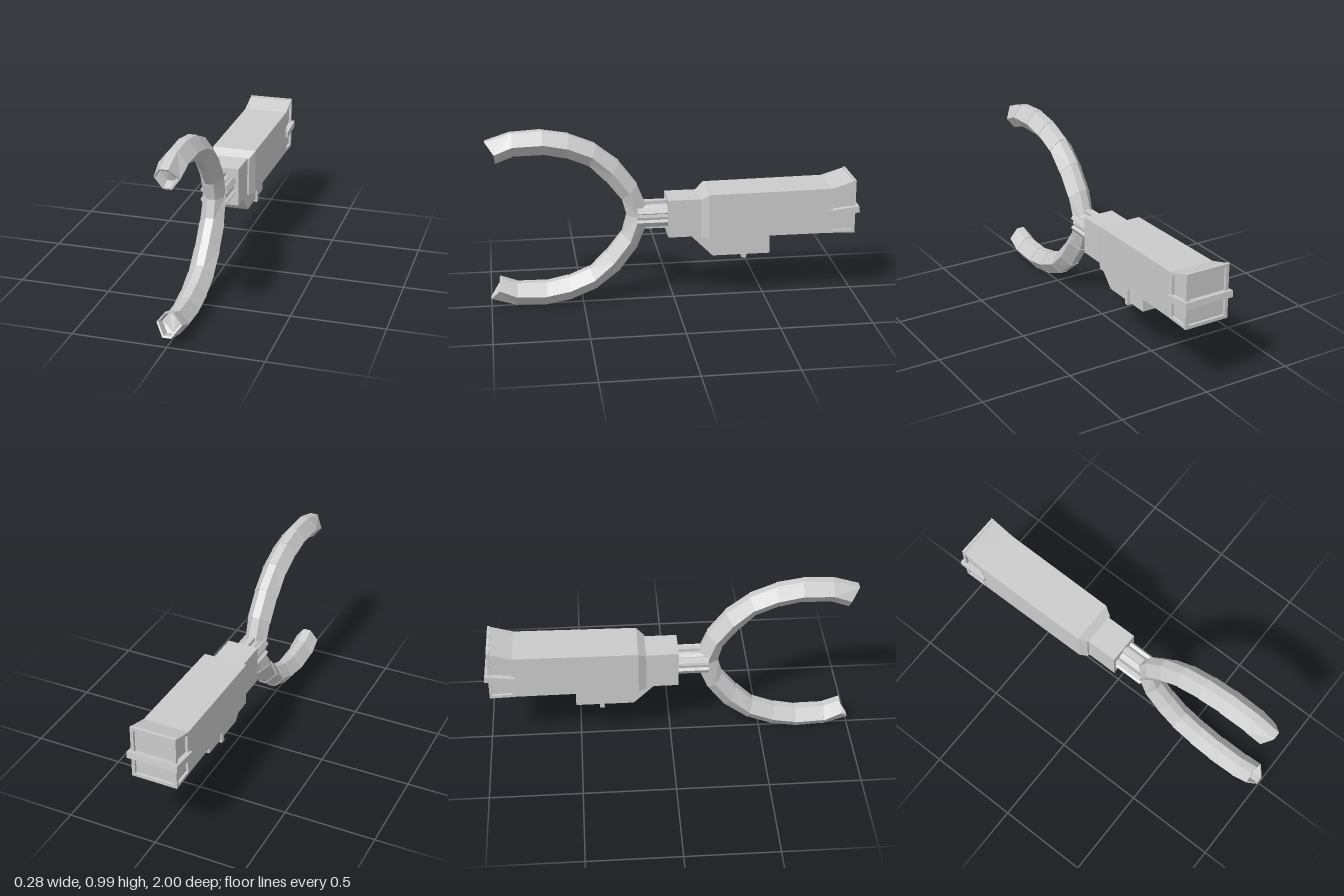
import * as THREE from 'three';

const material = new THREE.MeshStandardMaterial({ color: 0xcccccc, flatShading: true });
const MID = 0.493; // height of the mirror plane between the two claws

function mesh(name, geometry, parent) {
  const m = new THREE.Mesh(geometry, material);
  m.name = name;
  parent.add(m);
  return m;
}

function box(name, parent, x0, x1, y0, y1, z0, z1) {
  const m = mesh(name, new THREE.BoxGeometry(x1 - x0, y1 - y0, z1 - z0), parent);
  m.position.set((x0 + x1) / 2, (y0 + y1) / 2, (z0 + z1) / 2);
  return m;
}

// Skin a list of equal-sized convex rings, capped at both ends and facing outward
function loft(rings) {
  const tris = [];
  const n = rings[0].length;
  for (let r = 0; r + 1 < rings.length; r++) {
    for (let i = 0; i < n; i++) {
      const j = (i + 1) % n, a = rings[r], b = rings[r + 1];
      tris.push([a[i], a[j], b[j]], [a[i], b[j], b[i]]);
    }
  }
  const first = rings[0], last = rings[rings.length - 1];
  for (let i = 1; i + 1 < n; i++) {
    tris.push([first[0], first[i + 1], first[i]], [last[0], last[i], last[i + 1]]);
  }
  const cross = new THREE.Vector3();
  const volume = tris.reduce((v, [a, b, c]) => v + a.dot(cross.crossVectors(b, c)), 0);
  if (volume < 0) tris.forEach((t) => t.reverse());
  const g = new THREE.BufferGeometry().setFromPoints(tris.flat());
  g.computeVertexNormals();
  return g;
}

const rectRing = (x, y0, y1, z) =>
  [[-x, y0], [x, y0], [x, y1], [-x, y1]].map(([a, b]) => new THREE.Vector3(a, b, z));

// Side profile of [z, y] points stretched across the width
const prism = (profile, halfWidth) =>
  loft([-halfWidth, halfWidth].map((x) => profile.map(([z, y]) => new THREE.Vector3(x, y, z))));

function frame(outer, holes, depth) {
  const toPoints = (pts) => pts.map(([a, b]) => new THREE.Vector2(a, b));
  const shape = new THREE.Shape(toPoints(outer));
  holes.forEach((h) => shape.holes.push(new THREE.Path(toPoints(h))));
  return new THREE.ExtrudeGeometry(shape, { depth, bevelEnabled: false });
}

// Hexagonal ring between an outer and an inner [z, y] point
function hexRing([oz, oy, iz, iy, w], sign, scale = 1) {
  const mz = (oz + iz) / 2 - (oz > 0.99 ? 0.02 : 0), my = (oy + iy) / 2;
  const f = 0.022;
  return [[f, oz, oy], [w, mz, my], [f, iz, iy], [-f, iz, iy], [-w, mz, my], [-f, oz, oy]]
    .map(([x, z, y]) => new THREE.Vector3(
      x * scale,
      MID + sign * (my + (y - my) * scale - MID),
      mz + (z - mz) * scale));
}

// Curved claw of overlapping hexagonal segments with a hollow tip
function claw(name, sign, parent) {
  const group = new THREE.Group();
  group.name = name;
  parent.add(group);
  const stations = [
    [0.13, MID, 0.257, MID, 0.062],
    [0.2, 0.67, 0.285, 0.59, 0.069],
    [0.295, 0.8, 0.37, 0.695, 0.071],
    [0.42, 0.9, 0.46, 0.785, 0.072],
    [0.56, 0.96, 0.58, 0.832, 0.073],
    [0.7, 0.986, 0.7, 0.855, 0.074],
    [0.86, 0.98, 0.86, 0.85, 0.074],
    [1.0, 0.935, 0.95, 0.817, 0.067],
  ];
  for (let i = 0; i + 1 < stations.length; i++) {
    const tip = i === stations.length - 2;
    const rings = [hexRing(stations[i], sign), hexRing(stations[i + 1], sign, tip ? 1 : 0.96)];
    if (tip) {
      const lip = hexRing(stations[i + 1], sign, 0.86);
      const floor = hexRing(stations[i + 1], sign, 0.78);
      floor.forEach((p) => { p.z -= 0.05; p.y += sign * 0.015; });
      rings.push(lip, floor);
    }
    mesh('clawSegment', loft(rings), group);
  }
}

export function createModel() {
  const root = new THREE.Group();
  root.name = 'clawTool';

  claw('upperClaw', 1, root);
  claw('lowerClaw', -1, root);

  // Ribbed neck joining the claws to the body
  const neck = new THREE.Group();
  neck.name = 'neck';
  neck.position.set(0, MID, 0.12);
  root.add(neck);
  mesh('neckCore', new THREE.CylinderGeometry(0.064, 0.064, 0.17, 12), neck).rotation.x = Math.PI / 2;
  for (let i = 0; i < 6; i++) {
    const a = Math.PI / 2 + i * Math.PI / 3;
    const rib = mesh('neckRib', new THREE.BoxGeometry(0.026, 0.032, 0.17), neck);
    rib.position.set(Math.cos(a) * 0.066, Math.sin(a) * 0.066, 0);
    rib.rotation.z = a;
  }

  // Body: front block, then a chamfered step up to the long housing
  box('frontBlock', root, -0.087, 0.087, 0.382, 0.592, -0.2, 0.04);
  mesh('housing', loft([
    rectRing(0.098, 0.38, 0.592, -0.135),
    rectRing(0.122, 0.38, 0.625, -0.178),
    rectRing(0.125, 0.38, 0.632, -0.845),
  ]), root);

  // Flared rear end with recessed panels behind frames
  mesh('rearCore', prism([[-0.84, 0.38], [-0.965, 0.378], [-0.965, 0.669], [-0.84, 0.63]], 0.112), root);
  const sideOutline = [[0.84, 0.38], [0.98, 0.376], [0.98, 0.674], [0.84, 0.631]];
  const sideHole = [[0.858, 0.396], [0.964, 0.394], [0.964, 0.652], [0.858, 0.62]];
  for (const x of [-0.126, 0.111]) {
    const side = frame(sideOutline, [sideHole], 0.015);
    side.rotateY(Math.PI / 2);
    mesh('rearSideFrame', side, root).position.x = x;
  }
  const rear = frame(
    [[-0.126, 0.376], [0.126, 0.376], [0.126, 0.674], [-0.126, 0.674]],
    [[[-0.108, 0.394], [0.108, 0.394], [0.108, 0.656], [-0.108, 0.656]]], 0.015);
  mesh('rearFrame', rear, root).position.z = -0.98;

  // Tilted band wrapping round the rear
  const band = frame([
    [-0.14, -0.08], [-0.108, -0.08], [-0.108, 0.045], [0.108, 0.045],
    [0.108, -0.08], [0.14, -0.08], [0.14, 0.083], [-0.14, 0.083]], [], 0.036);
  band.translate(0, 0, -0.018);
  band.rotateX(-Math.PI / 2);
  const bandMesh = mesh('rearBand', band, root);
  bandMesh.position.set(0, 0.504, -0.917);
  bandMesh.rotation.x = 0.12;

  // Block under the housing with a sloped nose and a flange
  mesh('underBlock', prism([[-0.08, 0.385], [-0.205, 0.26], [-0.52, 0.26], [-0.52, 0.385]], 0.072), root);
  box('underFlange', root, -0.082, 0.082, 0.243, 0.385, -0.39, -0.365);

  return root;
}
